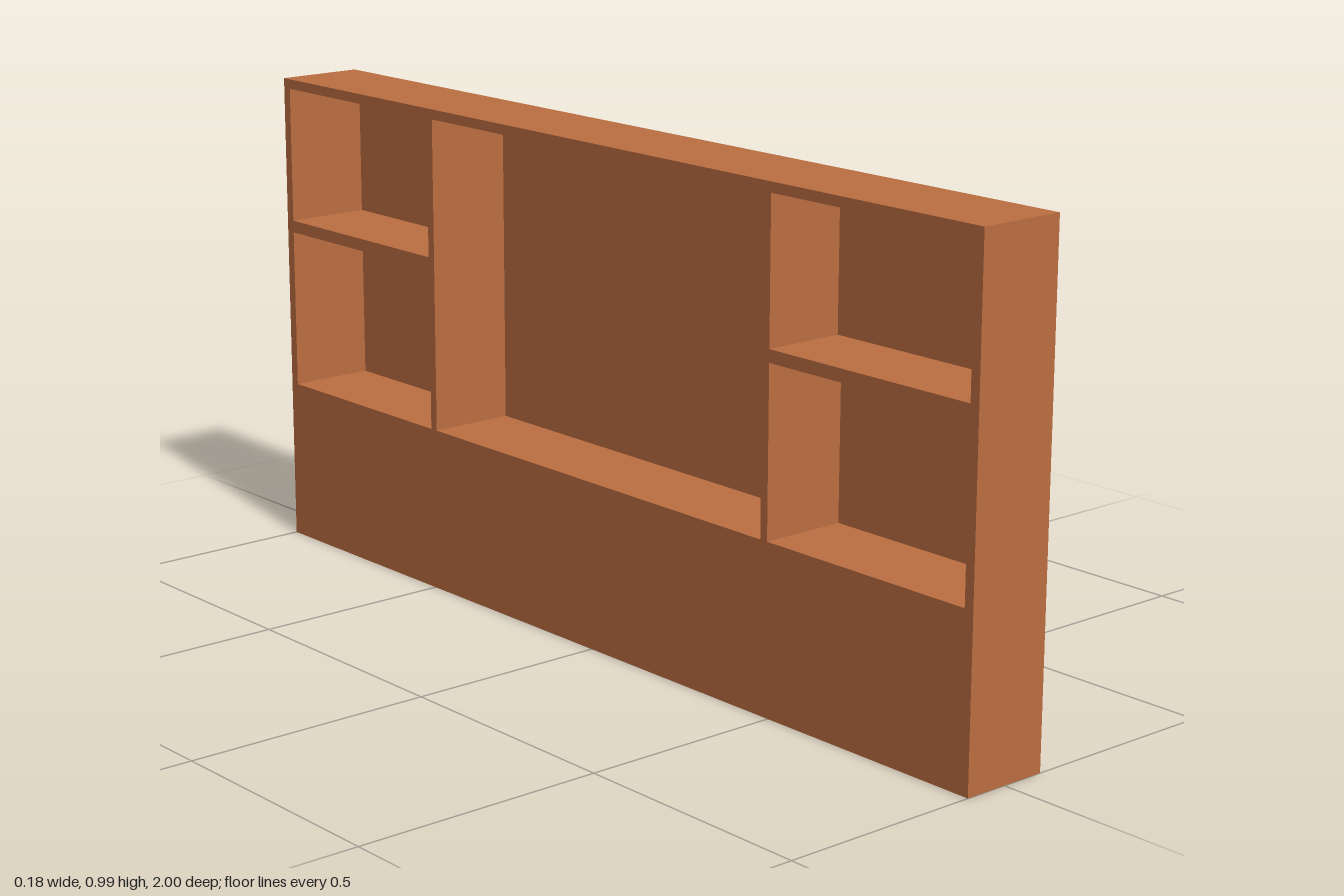
import * as THREE from 'three';

const HALF_DEPTH = 0.09, HEIGHT = 0.99, PANEL = 0.003;

// Openings as [z0, z1, y0, y1] on the -x face
const TOP = 0.97, SHELF_TOP = 0.69, SHELF_BOTTOM = 0.665, BASE = 0.335;
const RIGHT_COLUMN = [0.493, 0.98];
const openings = [[-0.505, 0.474 - 0.962, 0, 0]].slice(1);
for (const [z0, z1] of [[-0.98, -0.506], RIGHT_COLUMN]) {
  openings.push([z0, z1, SHELF_TOP, TOP], [z0, z1, BASE, SHELF_BOTTOM]);
}
openings.push([-0.488, 0.475, BASE, TOP]);

function rectangle(target, [z0, z1, y0, y1]) {
  target.moveTo(z0, y0);
  target.lineTo(z1, y0);
  target.lineTo(z1, y1);
  target.lineTo(z0, y1);
  target.closePath();
  return target;
}

export function createModel() {
  const group = new THREE.Group();
  group.name = 'wallShelf';
  const wood = new THREE.MeshStandardMaterial({ color: 0xbd6f42 });
  wood.name = 'warm wood';

  const add = (name, geometry) => {
    const mesh = new THREE.Mesh(geometry, wood);
    mesh.name = name;
    group.add(mesh);
    return mesh;
  };

  // Frame, dividers and solid base cut from one block
  const outline = rectangle(new THREE.Shape(), [-1, 1, 0, HEIGHT]);
  outline.holes = openings.map((o) => rectangle(new THREE.Path(), o));
  const frame = new THREE.ExtrudeGeometry(outline, {
    depth: 2 * HALF_DEPTH - PANEL, bevelEnabled: false,
  });
  frame.rotateY(-Math.PI / 2).translate(HALF_DEPTH - PANEL, 0, 0);
  add('shelfFrame', frame);

  // Thin panel closing the compartments
  add('backPanel', new THREE.BoxGeometry(PANEL, HEIGHT, 2))
    .position.set(HALF_DEPTH - PANEL / 2, HEIGHT / 2, 0);

  // Thicker lining behind the shallower upper compartment
  const lining = 0.01;
  const [z0, z1] = RIGHT_COLUMN;
  add('upperCompartmentLining', new THREE.BoxGeometry(lining, TOP - SHELF_TOP, z1 - z0))
    .position.set(HALF_DEPTH - PANEL - lining / 2, (TOP + SHELF_TOP) / 2, (z0 + z1) / 2);

  return group;
}
